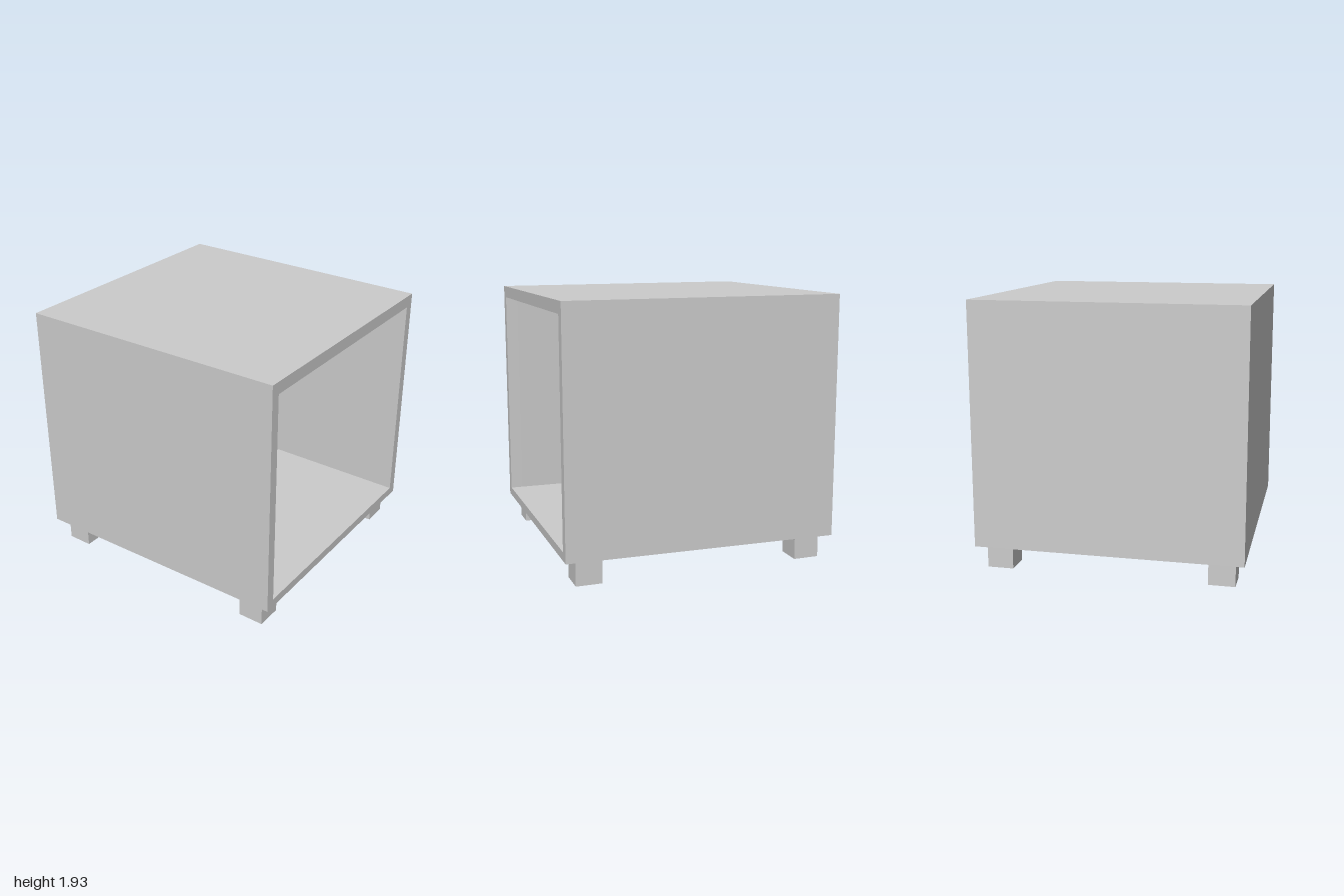
import * as THREE from 'three';

// Rectangular cross-section, counter-clockwise seen from the front
const ring = (w, y0, y1, z) => [[-w, y0, z], [w, y0, z], [w, y1, z], [-w, y1, z]];

// Skin a sequence of rings with quads, optionally capping the first and last
function skin(rings, capStart, capEnd) {
  const pos = [];
  const quad = (a, b, c, d) => pos.push(...a, ...b, ...c, ...a, ...c, ...d);
  for (let i = 0; i < rings.length - 1; i++) {
    const r = rings[i], s = rings[i + 1];
    for (let k = 0; k < 4; k++) {
      const n = (k + 1) % 4;
      quad(r[k], r[n], s[n], s[k]);
    }
  }
  if (capStart) { const r = rings[0]; quad(r[3], r[2], r[1], r[0]); }
  if (capEnd) quad(...rings[rings.length - 1]);
  const geo = new THREE.BufferGeometry();
  geo.setAttribute('position', new THREE.Float32BufferAttribute(pos, 3));
  geo.computeVertexNormals();
  return geo;
}

export function createModel() {
  const group = new THREE.Group();
  const grey = new THREE.MeshStandardMaterial({ color: 0xcccccc });
  grey.name = 'lightGrey';

  const add = (name, geo, x = 0, y = 0, z = 0) => {
    const mesh = new THREE.Mesh(geo, grey);
    mesh.name = name;
    mesh.position.set(x, y, z);
    group.add(mesh);
  };

  const backOuter = ring(0.965, 0.175, 1.935, -1);
  const frontOuter = ring(0.95, 0.185, 1.93, 1);
  const frontInner = ring(0.88, 0.248, 1.843, 1);
  const lipInner = ring(0.88, 0.248, 1.843, 0.91);
  const backInner = ring(0.893, 0.24, 1.85, -0.86);

  // Slightly tapered outer case, closed at the back
  add('case', skin([backOuter, frontOuter], true, false));
  // Front rim and its short return
  add('frontRim', skin([frontOuter, frontInner, lipInner], false, false));
  // Hollow interior with back panel
  add('interior', skin([lipInner, backInner], false, true));

  // Four square feet
  const foot = new THREE.BoxGeometry(0.19, 0.185, 0.19);
  for (const [sx, side] of [[1, 'Left'], [-1, 'Right']])
    for (const [z, end] of [[0.825, 'front'], [-0.83, 'back']])
      add(`${end}${side}Foot`, foot, sx * 0.803, 0.0925, z);

  return group;
}
